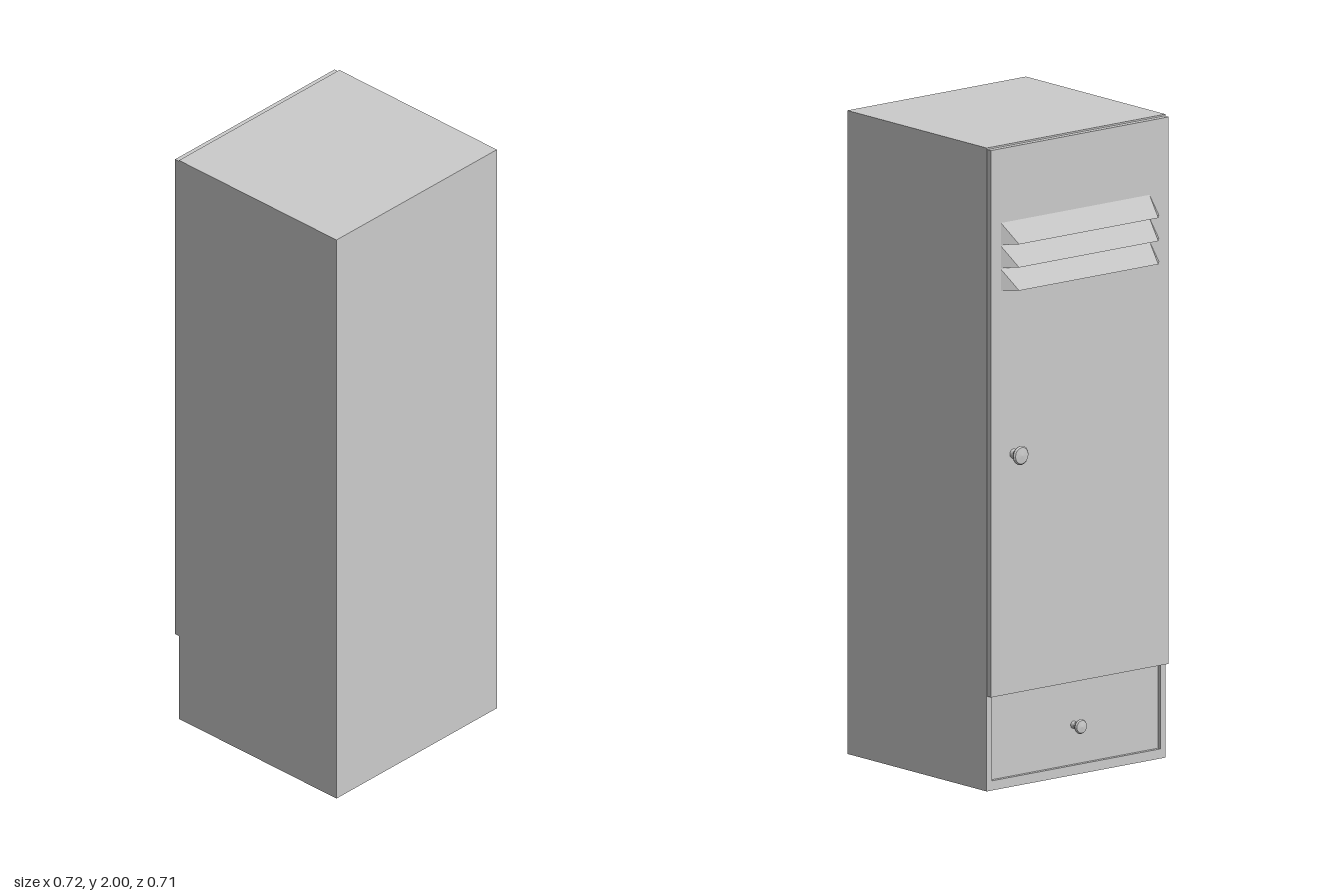
import * as THREE from 'three';
import { ConvexGeometry } from 'three/addons/geometries/ConvexGeometry.js';

const grey = new THREE.MeshStandardMaterial({ color: 0xcccccc });
const faceted = new THREE.MeshStandardMaterial({ color: 0xcccccc, flatShading: true });

const HALF = 0.353;    // half of the cabinet's width along z
const FRONT = -0.30;   // plane of the carcass opening, which faces -x
const RECESS = -0.288; // face of the set-back drawer
const DOOR = -0.318;   // outer face of the door

function add(group, name, geometry, material = grey) {
  const mesh = new THREE.Mesh(geometry, material);
  mesh.name = name;
  group.add(mesh);
  return mesh;
}

// Box given by its lower and upper corners
function box(x0, y0, z0, x1, y1, z1) {
  return new THREE.BoxGeometry(x1 - x0, y1 - y0, z1 - z0)
    .translate((x0 + x1) / 2, (y0 + y1) / 2, (z0 + z1) / 2);
}

// Rim of the carcass around the drawer opening
function rimGeometry() {
  const shape = new THREE.Shape([[-HALF, 0], [HALF, 0], [HALF, 2], [-HALF, 2]]
    .map(([z, y]) => new THREE.Vector2(z, y)));
  const w = HALF - 0.02;
  shape.holes.push(new THREE.Path([[-w, 0.03], [-w, 0.3], [w, 0.3], [w, 0.03]]
    .map(([z, y]) => new THREE.Vector2(z, y))));
  return new THREE.ExtrudeGeometry(shape, { depth: RECESS - FRONT, bevelEnabled: false })
    .rotateY(-Math.PI / 2)
    .translate(RECESS, 0, 0);
}

// Slanted vent slat with tapered ends
function slatGeometry(y, height) {
  const outer = -0.348;
  return new ConvexGeometry([
    [DOOR, y + height, -0.312], [DOOR, y + height, 0.275],
    [outer, y, -0.265], [outer, y, 0.285],
    [DOOR, y, -0.312], [DOOR, y, 0.312],
  ].map((p) => new THREE.Vector3(...p)));
}

// Flared knob with a slightly domed cap, pointing along -x
function knobGeometry(radius, length) {
  const profile = [[0.5, 0], [0.4, 0.25], [0.5, 0.45], [0.95, 0.72], [1, 0.82], [0.85, 0.94], [0, 1]]
    .map(([r, h]) => new THREE.Vector2(r * radius, h * length));
  return new THREE.LatheGeometry(profile, 16).rotateZ(Math.PI / 2);
}

export function createModel() {
  const cabinet = new THREE.Group();
  cabinet.name = 'cabinet';

  // Carcass and its rim
  add(cabinet, 'carcass', box(RECESS, 0, -HALF, 0.357, 2, HALF));
  add(cabinet, 'drawerRim', rimGeometry());

  // Door with vent slats
  const door = new THREE.Group();
  door.name = 'door';
  cabinet.add(door);
  add(door, 'doorPanel', box(DOOR, 0.295, -0.351, FRONT, 1.995, 0.351));
  for (let i = 0; i < 3; i++) {
    add(door, 'ventSlat', slatGeometry(1.552 + i * 0.072, 0.068), faceted);
  }

  // Knobs
  add(door, 'doorKnob', knobGeometry(0.03, 0.042), faceted).position.set(DOOR, 1.04, -0.262);
  add(cabinet, 'drawerKnob', knobGeometry(0.023, 0.042), faceted).position.set(RECESS, 0.153, 0);

  return cabinet;
}
